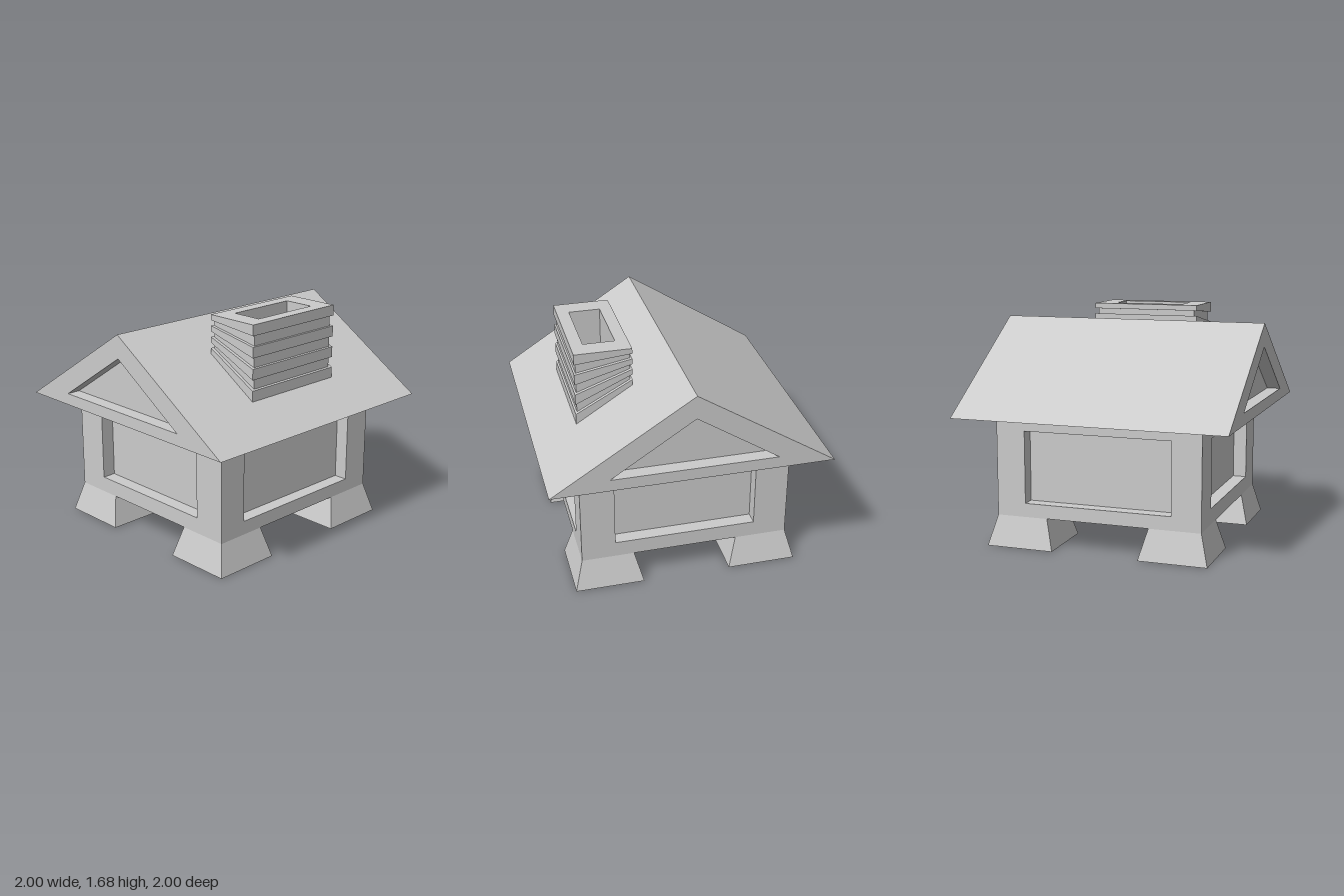
import * as THREE from 'three';

const material = new THREE.MeshStandardMaterial({ color: 0xcccccc, flatShading: true });
const RECESS = 0.1;

function add(parent, name, geometry) {
  const mesh = new THREE.Mesh(geometry, material);
  mesh.name = name;
  parent.add(mesh);
  return mesh;
}

const points = (list) => list.map(([x, y]) => new THREE.Vector2(x, y));
const rect = (hw, y0, y1) => points([[-hw, y0], [hw, y0], [hw, y1], [-hw, y1]]);
const triangle = (hw, y0, y1) => points([[-hw, y0], [hw, y0], [0, y1]]);

// Extruded outline with an optional hole, starting at z
function plate(outline, hole, depth, z) {
  const shape = new THREE.Shape(outline);
  if (hole) shape.holes.push(new THREE.Path(hole));
  return new THREE.ExtrudeGeometry(shape, { depth, bevelEnabled: false }).translate(0, 0, z);
}

// Splayed foot: a box widened at the bottom
function footGeometry() {
  const g = new THREE.BoxGeometry(0.38, 0.22, 0.38).toNonIndexed();
  const p = g.attributes.position;
  for (let i = 0; i < p.count; i++) {
    if (p.getY(i) < 0) p.setXYZ(i, p.getX(i) * 0.5 / 0.38, p.getY(i), p.getZ(i) * 0.5 / 0.38);
  }
  g.computeVertexNormals();
  return g;
}

// One hollow chimney course between fractions t0 and t1, fanning out from the roof slope to a level top
function courseGeometry(scale, t0, t1) {
  const g = plate(rect(0.203 * scale, -0.41 * scale, 0.41 * scale), rect(0.113, -0.265, 0.265), 1, 0);
  g.rotateX(-Math.PI / 2).translate(0.498, 0, 0);
  const p = g.attributes.position;
  for (let i = 0; i < p.count; i++) {
    const roofY = 1.59 - 0.64 * p.getX(i);
    const t = p.getY(i) > 0.5 ? t1 : t0;
    p.setY(i, THREE.MathUtils.lerp(roofY, 1.68, t));
  }
  g.computeVertexNormals();
  return g;
}

export function createModel() {
  const house = new THREE.Group();
  house.name = 'house';

  // Feet
  for (const sx of [-1, 1]) {
    for (const sz of [-1, 1]) {
      add(house, 'foot', footGeometry()).position.set(sx * 0.57, 0.11, sz * 0.57);
    }
  }

  // Walls: solid core with a framed recess on each side
  const walls = new THREE.Group();
  walls.name = 'walls';
  house.add(walls);
  add(walls, 'wallCore', new THREE.BoxGeometry(1.32, 0.73, 1.32)).position.y = 0.585;
  for (let i = 0; i < 4; i++) {
    const isSide = i % 2 === 1;
    const frame = isSide
      ? plate(rect(0.66, 0.22, 0.95), rect(0.545, 0.32, 0.845), RECESS, 0.66)
      : plate(rect(0.76, 0.22, 0.95), rect(0.515, 0.335, 0.835), RECESS, 0.66);
    add(walls, isSide ? 'sideWallFrame' : 'endWallFrame', frame).rotation.y = i * Math.PI / 2;
  }

  // Roof: solid prism with a recessed gable at both ends
  const roof = new THREE.Group();
  roof.name = 'roof';
  house.add(roof);
  const gable = triangle(1, 0.95, 1.59);
  add(roof, 'roofCore', plate(gable, null, 2 - 2 * RECESS, RECESS - 1));
  for (const z of [-1, 1 - RECESS]) {
    add(roof, 'gableFrame', plate(gable, triangle(0.59, 1.035, 1.42), RECESS, z));
  }

  // Chimney: four wide courses with narrower ones between, and a floor in the flue
  const chimney = new THREE.Group();
  chimney.name = 'chimney';
  house.add(chimney);
  for (let i = 0; i < 7; i++) {
    const wide = i % 2 === 0;
    add(chimney, wide ? 'chimneyBand' : 'chimneyGroove', courseGeometry(wide ? 1 : 0.94, i / 7, (i + 1) / 7));
  }
  add(chimney, 'flueFloor', new THREE.BoxGeometry(0.226, 0.2, 0.53)).position.set(0.498, 1.26, 0);

  return house;
}
